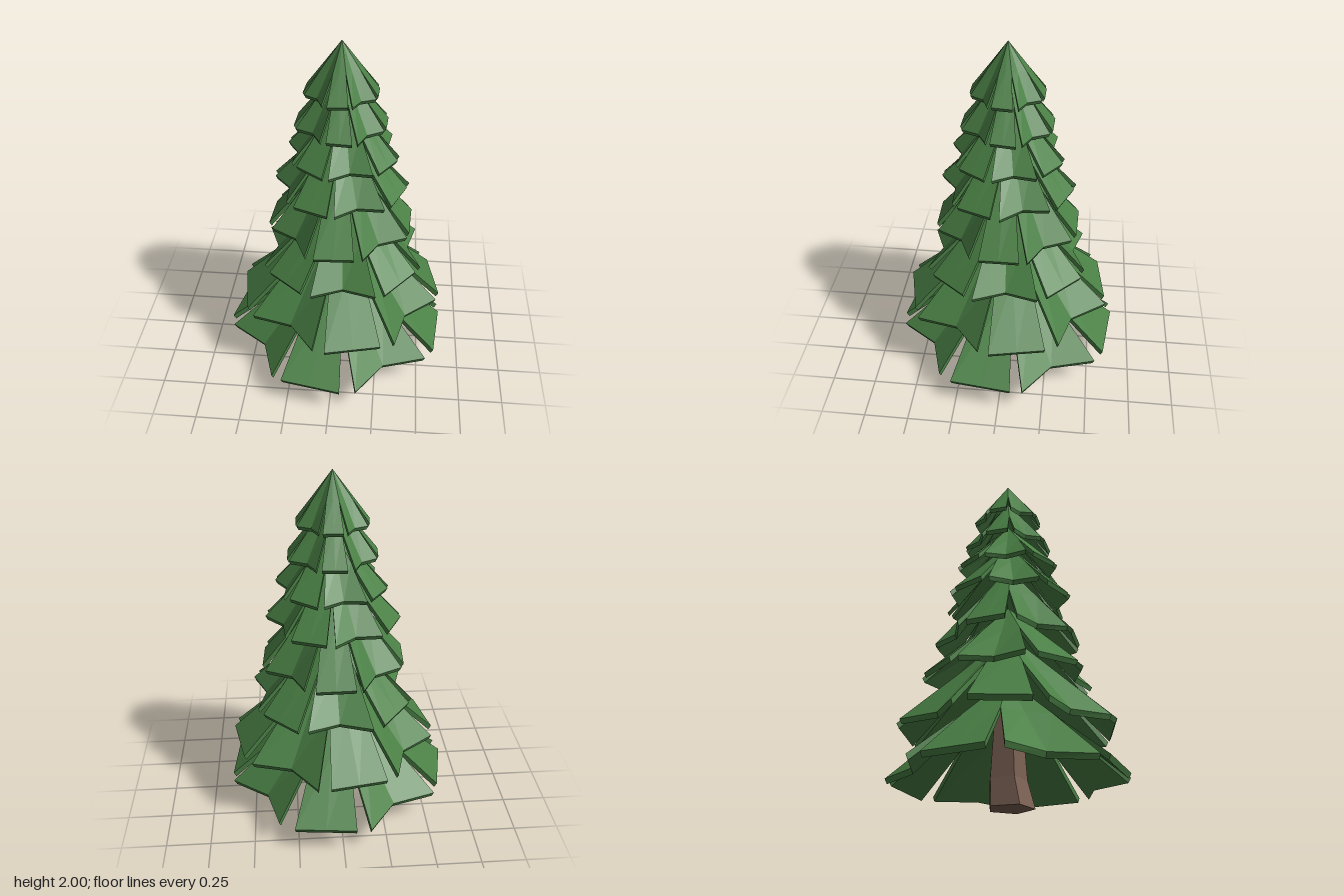
import * as THREE from 'three';

const green = new THREE.MeshStandardMaterial({ color: 0x4a8045, flatShading: true });
const brown = new THREE.MeshStandardMaterial({ color: 0x7a6052, flatShading: true });
const rad = THREE.MathUtils.degToRad;

// Small seeded generator, returns -1..1
function seeded(seed) {
  let s = seed;
  return () => {
    s = (s * 16807) % 2147483647;
    return (s / 2147483647) * 2 - 1;
  };
}

// Sloping wedge slab: touches its neighbours on the inner half, then narrows to
// leave a notch at the rim. Its middle is either flat or folded inward.
function boughGeometry({ top, rim, radius, fullHalf, rimHalf, fold, thick, skew, tilt, twist }) {
  const geo = new THREE.BoxGeometry(2, 1, 1, 2, 1, 2);
  const p = geo.attributes.position;
  for (let i = 0; i < p.count; i++) {
    const s = Math.round(p.getX(i));    // -1, 0, 1 across
    const t = p.getZ(i) + 0.5;          // 0 at the trunk, 1 at the rim
    const under = 0.5 - p.getY(i);      // 1 on the underside
    const end = t === 1 ? 1 : 0;
    const angle = s * (end ? rimHalf : fullHalf) + end * twist;
    const r = radius * t * (s === 0 ? fold : 1 + end * s * skew) - under * thick * 0.5 * t;
    const y = THREE.MathUtils.lerp(top, rim, t) + end * tilt * s - under * thick;
    p.setXYZ(i, Math.sin(angle) * r, y, Math.cos(angle) * r);
  }
  geo.computeVertexNormals();
  return geo;
}

// Rim height, corner radius, height at the axis, angle of the first flat bough, x offset
const tiers = [
  { rim: 0.16, r: 0.645, top: 0.71, start: 9.5, x: 0 },
  { rim: 0.42, r: 0.59, top: 0.99, start: 79, x: 0.02 },
  { rim: 0.70, r: 0.475, top: 1.16, start: 41, x: 0.03 },
  { rim: 0.92, r: 0.41, top: 1.42, start: 2, x: 0.02 },
  { rim: 1.18, r: 0.37, top: 1.58, start: 24, x: 0.02 },
  { rim: 1.375, r: 0.31, top: 1.71, start: 33, x: 0.03 },
  { rim: 1.545, r: 0.25, top: 1.87, start: 0, x: 0.02 },
  { rim: 1.725, r: 0.2, top: 2.0, start: 3, x: 0.02 },
];

export function createModel() {
  const tree = new THREE.Group();
  tree.name = 'pineTree';

  // Five-sided trunk with a flared foot, leaning back above it
  const profile = [[0, 0], [0.13, 0], [0.11, 0.15], [0.075, 0.6], [0, 0.6]]
    .map(([x, y]) => new THREE.Vector2(x, y));
  const trunkGeo = new THREE.LatheGeometry(profile, 5, Math.PI / 2);
  const tp = trunkGeo.attributes.position;
  for (let i = 0; i < tp.count; i++) if (tp.getY(i) > 0) tp.setZ(i, tp.getZ(i) - 0.02);
  const trunk = new THREE.Mesh(trunkGeo, brown);
  trunk.name = 'trunk';
  trunk.position.set(0.03, 0, 0.01);
  tree.add(trunk);

  // Rings of alternating flat and folded boughs, from the ground up
  const rand = seeded(71);
  tiers.forEach((tier, k) => {
    const ring = new THREE.Group();
    ring.name = `boughTier${k + 1}`;
    ring.position.x = tier.x;
    for (let i = 0; i < 8; i++) {
      const folded = i % 2 === 1;
      const rimHalf = rad(folded ? 22 : 15.5);
      const bough = new THREE.Mesh(boughGeometry({
        top: tier.top,
        rim: tier.rim,
        radius: tier.r,
        fullHalf: rad(folded ? 26 : 19),
        rimHalf,
        fold: folded ? 0.8 : Math.cos(rimHalf),
        thick: 0.016 + 0.02 * tier.r,
        skew: 0.015 * rand(),
        tilt: 0.015 * tier.r * rand(),
        twist: rad(rand()),
      }), green);
      bough.name = folded ? 'foldedBough' : 'flatBough';
      bough.rotation.y = Math.PI / 2 - rad(tier.start + i * 45);
      ring.add(bough);
    }
    tree.add(ring);
  });

  return tree;
}
